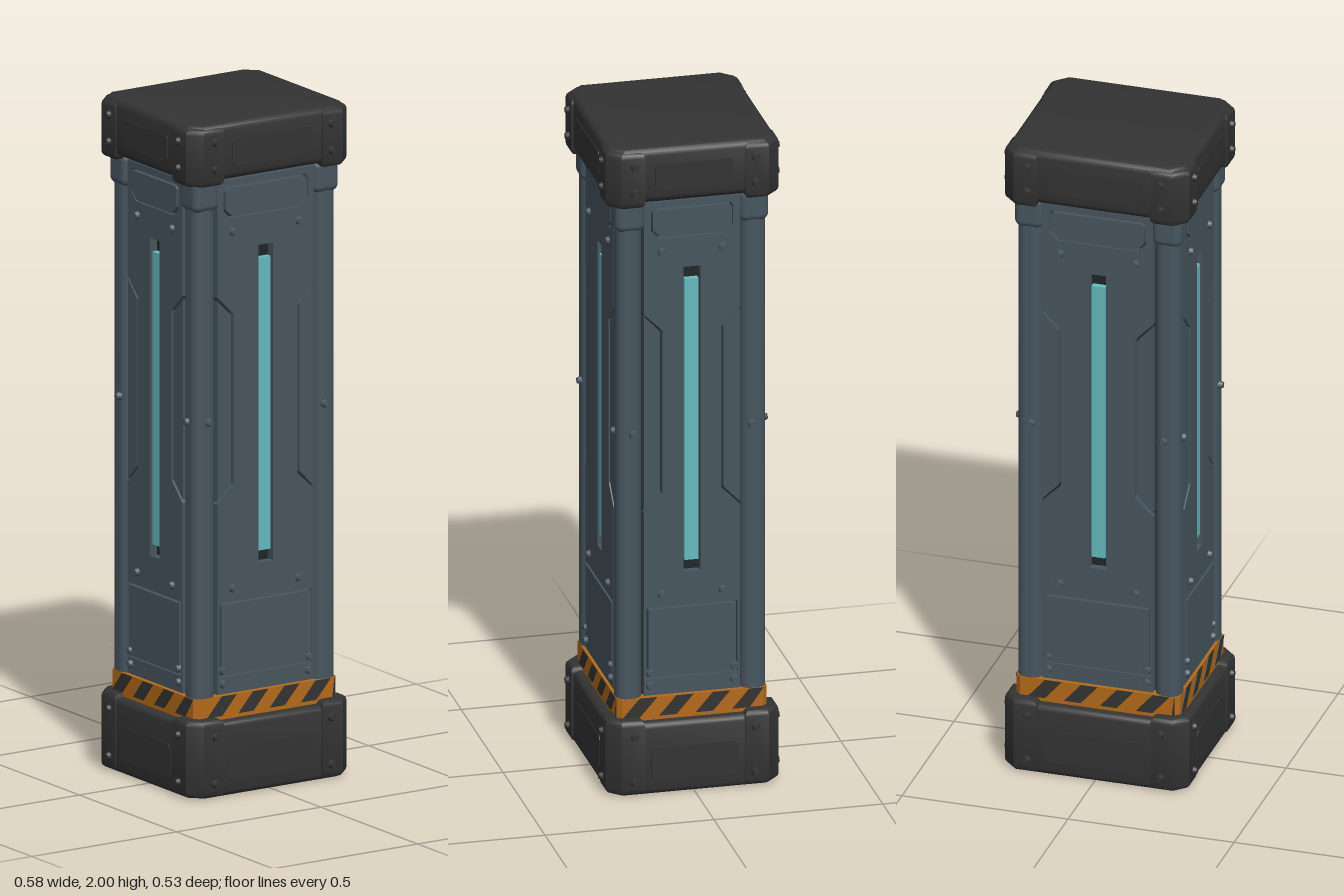
import * as THREE from 'three';
import { toCreasedNormals } from 'three/addons/utils/BufferGeometryUtils.js';
import { RoundedBoxGeometry } from 'three/addons/geometries/RoundedBoxGeometry.js';

const paint = (name, color) => {
  const m = new THREE.MeshStandardMaterial({ color });
  m.name = name;
  return m;
};
const steel = paint('blue grey steel', 0x47555f);
const dark = paint('charcoal metal', 0x333333);
const seam = paint('dark seam', 0x1f2528);
const glow = paint('cyan light', 0x66b9be);
const orange = paint('hazard orange', 0xb46a18);

// Half sizes of the shaft and of the end blocks
const BX = 0.245, BZ = 0.221, CX = 0.278, CZ = 0.256, POST = 0.075;

const toShape = pts => new THREE.Shape(pts.map(p => new THREE.Vector2(p[0], p[1])));
const rect = (hw, y0, y1) => [[-hw, y0], [hw, y0], [hw, y1], [-hw, y1]];
// Rectangle with cut bottom (b) and top (t) corners
const cutRect = (hw, y0, y1, b, t) => [
  [-hw + b, y0], [hw - b, y0], [hw, y0 + b], [hw, y1 - t],
  [hw - t, y1], [-hw + t, y1], [-hw, y1 - t], [-hw, y0 + b]];

function add(parent, name, geo, mat, x = 0, y = 0, z = 0) {
  const m = new THREE.Mesh(geo, mat);
  m.name = name;
  m.position.set(x, y, z);
  parent.add(m);
  return m;
}

// Flat plate on a face, from z0 to z1
function plate(parent, name, pts, z0, z1, mat, holes = []) {
  const s = toShape(pts);
  holes.forEach(h => s.holes.push(new THREE.Path(h.map(p => new THREE.Vector2(p[0], p[1])))));
  const geo = new THREE.ExtrudeGeometry(s, { depth: z1 - z0, bevelEnabled: false });
  return add(parent, name, geo, mat, 0, 0, z0);
}

// Upright prism with bevelled ends; the outline is its widest section
function prism(parent, name, pts, y0, y1, bevel, mat) {
  const geo = new THREE.ExtrudeGeometry(toShape(pts), {
    depth: y1 - y0 - 2 * bevel, bevelEnabled: bevel > 0,
    bevelSize: bevel, bevelThickness: bevel, bevelOffset: -bevel, bevelSegments: 3 });
  geo.rotateX(-Math.PI / 2);
  return add(parent, name, toCreasedNormals(geo, 0.6), mat, 0, y0 + bevel, 0);
}
const octagon = (hx, hz, c) => cutRect(hx, -hz, hz, c, c);

const boltGeo = new THREE.CylinderGeometry(0.009, 0.014, 0.014, 8).rotateX(Math.PI / 2);
const boltPair = (parent, x, y, z, mat) =>
  [-1, 1].forEach(s => add(parent, 'bolt', boltGeo, mat, s * x, y, z + 0.004));

// One side of the shaft: W is its half width, D its distance from the centre
function shaftFace(W, D) {
  const g = new THREE.Group();
  g.name = 'shaftFace';
  const p = W - POST - 0.004, n = p - 0.055, front = D - 0.006, back = D - 0.03;
  const topPanel = q => cutRect(p - 0.02 - q, 1.705 + q, 1.8 - q, 0.025, 0.008);
  const lowPanel = q => rect(p - 0.007 - q, 0.345 + q, 0.565 - q);

  // Main plate with side notches, light slot and panel openings
  const right = [[p, 0.295], [p, 0.86], [n, 0.915], [n, 1.42], [p, 1.475], [p, 1.82]];
  const outline = [...right, ...right.map(([x, y]) => [-x, y]).reverse()];
  plate(g, 'mainPlate', outline, back, front, steel,
    [rect(0.025, 0.668, 1.612), lowPanel(0), topPanel(0)]);
  plate(g, 'upperPanel', topPanel(0.005), back, front + 0.003, steel);
  plate(g, 'lowerPanel', lowPanel(0.005), back, front + 0.003, steel);

  // Inserts in the notches
  for (const s of [-1, 1]) {
    const pts = [[p, 0.87], [p, 1.465], [n + 0.007, 1.415], [n + 0.007, 0.92]];
    plate(g, 'notchInsert', pts.map(([x, y]) => [s * x, y]), back, front - 0.002, steel);
  }
  add(g, 'lightStrip', new THREE.BoxGeometry(0.041, 0.87, 0.018), glow, 0, 1.137, D - 0.02);

  boltPair(g, p - 0.052, 1.665, front, steel);
  boltPair(g, p - 0.052, 0.605, front, steel);
  boltPair(g, p - 0.018, 0.365, front, steel);
  boltPair(g, p - 0.018, 0.325, front, steel);
  boltPair(g, W - 0.045, 1.11, D, steel);

  // Slanted hazard stripes, clipped at the corners
  const lim = W - 0.012, clip = x => Math.max(-lim, Math.min(lim, x));
  for (let i = -3; i <= 2; i++) {
    const x = i * 0.108 + 0.01;
    const pts = [[x, 0.234], [x + 0.05, 0.234], [x + 0.1, 0.291], [x + 0.05, 0.291]];
    if (x + 0.05 > -lim && x < lim)
      plate(g, 'hazardStripe', pts.map(([a, y]) => [clip(a), y]), D + 0.001, D + 0.004, dark);
  }
  return g;
}

// One side of the cap and the base: seamed panels and bolts
function endFace(W, D) {
  const g = new THREE.Group();
  g.name = 'endFace';
  const z = D - 0.008;
  const panel = (name, hw, y0, y1, b, t) => {
    plate(g, name + 'Seam', cutRect(hw, y0, y1, b, t), z - 0.004, z + 0.001, seam);
    plate(g, name, cutRect(hw - 0.005, y0 + 0.005, y1 - 0.005, b, t), z - 0.004, z + 0.004, dark);
  };
  panel('capPanel', W - 0.135, 1.865, 1.955, 0.015, 0.008);
  panel('basePanel', W - 0.122, 0.04, 0.15, 0.008, 0.012);
  for (const y of [0.045, 0.185, 1.87, 1.95]) boltPair(g, W - 0.077, y, D, dark);
  return g;
}

export function createModel() {
  const model = new THREE.Group();
  model.name = 'pillar';

  // Cap, base and shaft core
  prism(model, 'capBlock', octagon(CX - 0.006, CZ - 0.006, 0.04), 1.83, 2, 0.022, dark);
  prism(model, 'baseBlock', octagon(CX - 0.006, CZ - 0.006, 0.04), 0, 0.222, 0.018, dark);
  add(model, 'shaftCore', new THREE.BoxGeometry(2 * BX - 0.06, 1.64, 2 * BZ - 0.06), seam, 0, 1.02, 0);
  prism(model, 'hazardBand', octagon(BX + 0.001, BZ + 0.001, 0.014), 0.21, 0.292, 0, orange);

  // Corner guards, posts and collars
  for (const sx of [-1, 1]) for (const sz of [-1, 1]) {
    const a = CX - 0.108, b = CZ - 0.108, c = 0.038;
    const guard = [[a, b], [CX, b], [CX, CZ - c], [CX - c, CZ], [a, CZ]]
      .map(([x, z]) => [sx * x, sz * z]);
    prism(model, 'capGuard', guard, 1.818, 1.992, 0.018, dark);
    prism(model, 'baseGuard', guard, 0.003, 0.234, 0.018, dark);
    const x = sx * (BX - POST / 2), z = sz * (BZ - POST / 2);
    add(model, 'cornerPost', new RoundedBoxGeometry(POST, 1.62, POST, 4, 0.03), steel, x, 1.04, z);
    add(model, 'postCollar', new RoundedBoxGeometry(POST + 0.012, 0.1, POST + 0.012, 3, 0.022),
      steel, x, 1.785, z);
  }

  // Four detailed sides
  for (let i = 0; i < 4; i++) {
    const side = new THREE.Group();
    side.name = ['front', 'left', 'back', 'right'][i] + 'Side';
    side.add(i % 2 ? shaftFace(BZ, BX) : shaftFace(BX, BZ));
    side.add(i % 2 ? endFace(CZ, CX) : endFace(CX, CZ));
    side.rotation.y = i * Math.PI / 2;
    model.add(side);
  }
  return model;
}
